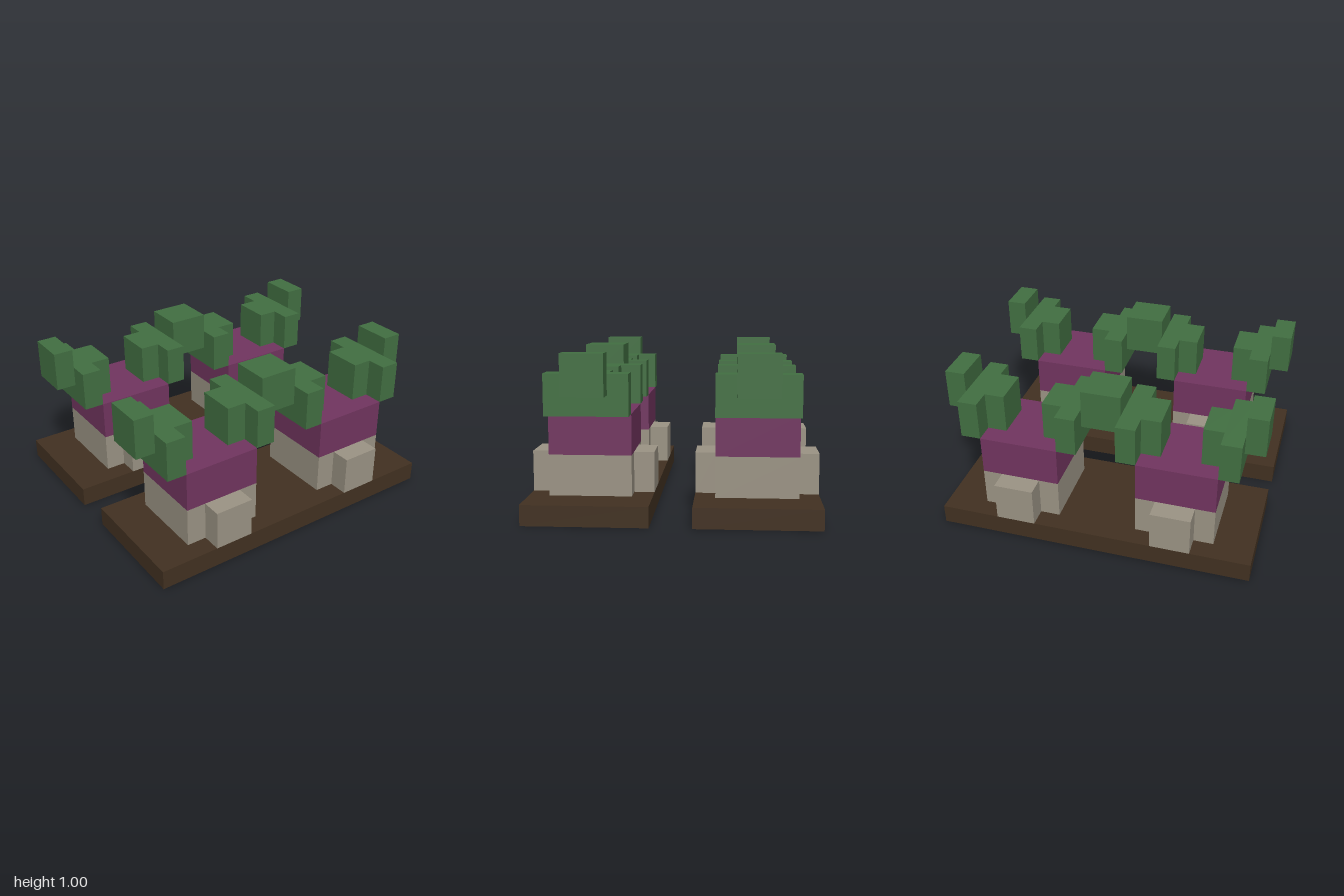
import * as THREE from 'three';

const U = 0.125; // block unit

const material = (name, color) => {
  const m = new THREE.MeshStandardMaterial({ color });
  m.name = name;
  return m;
};

export function createModel() {
  const soil = material('soil brown', 0x423121);
  const stone = material('stone grey', 0x9c9485);
  const purple = material('plum purple', 0x723560);
  const green = material('leaf green', 0x427042);

  // box given by its size and by its centre in x and z and its bottom in y, in units
  const box = (parent, name, mat, [w, h, d], [x, y, z]) => {
    const mesh = new THREE.Mesh(new THREE.BoxGeometry(w * U, h * U, d * U), mat);
    mesh.position.set(x * U, (y + h / 2) * U, z * U);
    mesh.name = name;
    parent.add(mesh);
  };

  // one plant: stone foot, purple bulb and two stepped leaves
  const createPlant = () => {
    const plant = new THREE.Group();
    plant.name = 'plant';
    box(plant, 'foot', stone, [4, 2, 4], [0, 1, 0]);
    box(plant, 'bulb', purple, [4, 2, 4], [0, 3, 0]);
    for (const s of [-1, 1]) {
      box(plant, 'footBlock', stone, [2, 2, 1], [0, 1, s * 2.5]);
      const leaf = new THREE.Group();
      leaf.name = s > 0 ? 'leftLeaf' : 'rightLeaf';
      box(leaf, 'leafStem', green, [1, 2, 2], [s * 1.5, 5, 0]);
      box(leaf, 'leafBlade', green, [1, 2, 4], [s * 2.5, 5, 0]);
      box(leaf, 'leafTip', green, [1, 2, 2], [s * 3.5, 6, 0]);
      plant.add(leaf);
    }
    return plant;
  };

  // two beds, each with two plants
  const model = new THREE.Group();
  model.name = 'plantBeds';
  for (const side of [-1, 1]) {
    const bed = new THREE.Group();
    bed.name = side > 0 ? 'frontBed' : 'backBed';
    bed.position.z = side * 4 * U;
    box(bed, 'soilSlab', soil, [16, 1, 6], [0, 0, 0]);
    for (const s of [-1, 1]) {
      const plant = createPlant();
      plant.position.x = s * 4 * U;
      bed.add(plant);
    }
    model.add(bed);
  }
  return model;
}
